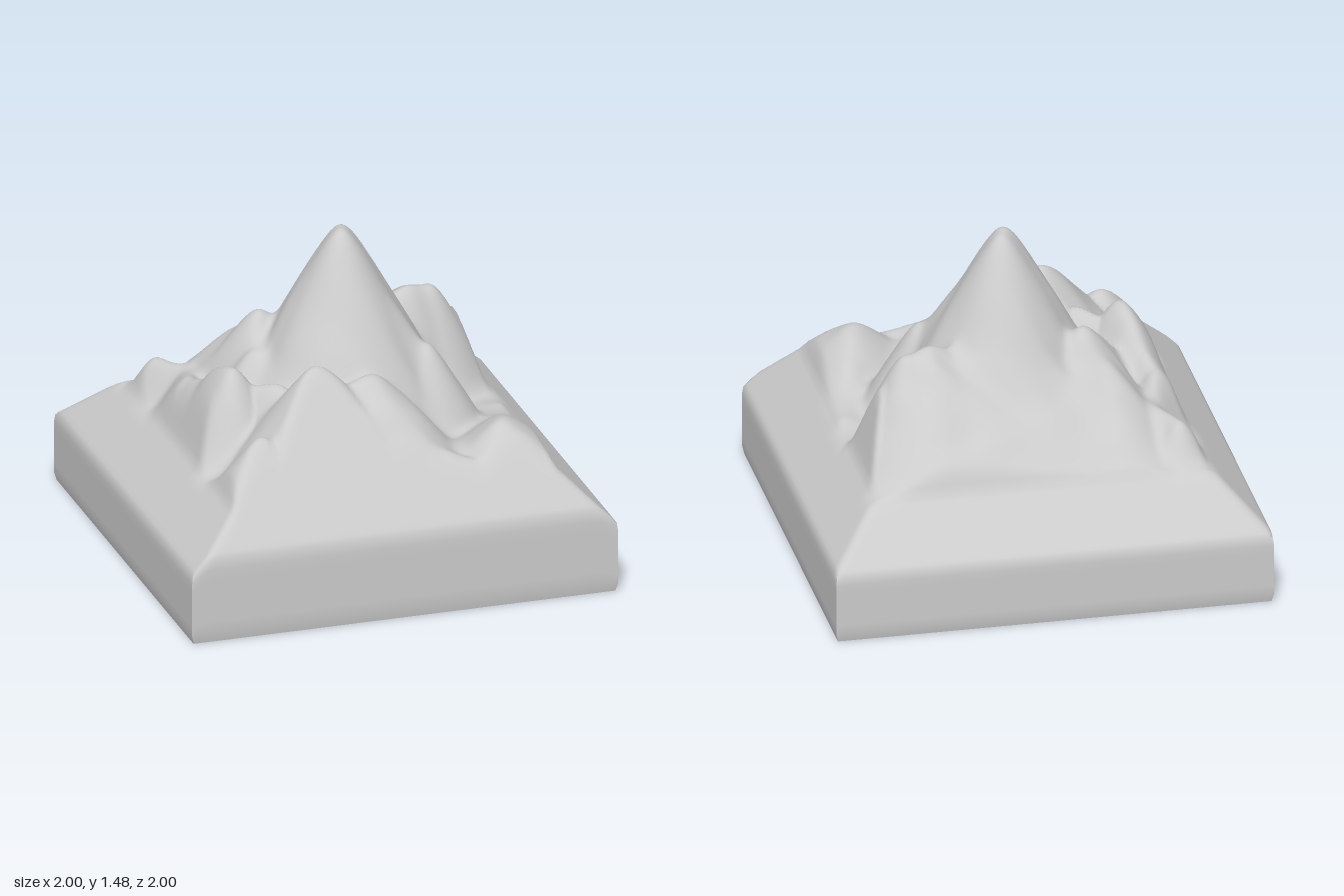
import * as THREE from 'three';
import { toCreasedNormals } from 'three/addons/utils/BufferGeometryUtils.js';

// Crest lines: points [x, y, z], fall-off slope towards the front and towards the back
const crests = [
  // main summit
  { pts: [[0.02, 1.485, 0.01], [0.04, 1.48, -0.05]], front: 1.85, back: 1.85 },
  // right-hand ridge with a cliff on its front
  { pts: [[0.3, 1.02, -0.22], [0.42, 1.06, -0.25], [0.52, 1.03, -0.27], [0.65, 0.9, -0.31], [0.73, 0.76, -0.36]], front: 2.6, back: 1.15 },
  // broad apron running down the back
  { pts: [[-0.38, 0.9, -0.32], [0.4, 0.98, -0.3]], front: 1.8, back: 0.9 },
  // shoulder curling round the left of the summit into the channel
  { pts: [[-0.3, 1.06, -0.19], [-0.37, 0.94, -0.02], [-0.31, 0.84, 0.18], [-0.14, 0.83, 0.34]], front: 1.5, back: 1.5 },
  // spur on the front right of the summit
  { pts: [[0.18, 1.12, 0.1], [0.36, 0.96, 0.19], [0.56, 0.62, 0.28]], front: 1.8, back: 1.9 },
  // front ridge, closing the channel below the summit
  { pts: [[-0.56, 0.81, 0.66], [-0.46, 0.75, 0.62], [-0.25, 1.05, 0.49], [-0.12, 0.93, 0.5], [0.02, 0.97, 0.46], [0.24, 0.68, 0.72]], front: 0.85, back: 1.6 },
  // jagged left ridge
  { pts: [[-0.66, 0.72, -0.56], [-0.58, 0.72, -0.38], [-0.64, 0.79, -0.15], [-0.56, 0.97, 0.22], [-0.47, 0.88, 0.24], [-0.38, 0.9, 0.32]], front: 2, back: 1.8 },
  // lip and rim of the right-hand bowl
  { pts: [[0.24, 0.66, 0.78], [0.44, 0.63, 0.8], [0.57, 0.75, 0.67], [0.73, 0.56, 0.1]], front: 0.75, back: 0.9 },
];

const smoothMax = (a, b, k) => {
  const h = Math.max(k - Math.abs(a - b), 0) / k;
  return Math.max(a, b) + h * h * k * 0.25;
};
const smoothMin = (a, b, k) => -smoothMax(-a, -b, k);

function crestHeight({ pts, front, back }, x, z) {
  const round = 0.055;
  let best = 0;
  for (let i = 0; i < pts.length - 1; i++) {
    const [ax, ay, az] = pts[i], [bx, by, bz] = pts[i + 1];
    const dx = bx - ax, dz = bz - az;
    let t = ((x - ax) * dx + (z - az) * dz) / (dx * dx + dz * dz);
    t = THREE.MathUtils.clamp(t, 0, 1);
    const ox = x - ax - t * dx, oz = z - az - t * dz;
    const d = Math.hypot(ox, oz);
    const slope = THREE.MathUtils.lerp(back, front, 0.5 + 0.5 * oz / (d + 1e-6));
    const fall = slope * (Math.hypot(d, round) - round);
    const s = t * t * (3 - 2 * t);
    best = Math.max(best, ay + (by - ay) * s - fall);
  }
  return best;
}

function height(x, z) {
  let h = 0.55;
  for (const c of crests) h = smoothMax(h, crestHeight(c, x, z), 0.09);
  // small gullies on the high ground
  const rough = THREE.MathUtils.smoothstep(h, 0.6, 0.85) * THREE.MathUtils.smoothstep(1.45 - h, 0, 0.4);
  h += 0.01 * rough * Math.sin(17 * x + 3 * Math.sin(9 * z)) * Math.cos(13 * z - 5 * x);
  // bevelled sides of the slab, turning steeper inside
  const ex = 1 - Math.abs(x), ez = 1 + z;
  const side = 0.33 + ex + Math.max(0, ex - 0.24) * 2.2;
  const rear = 0.32 + 0.92 * ez + Math.max(0, ez - 0.25) * 2;
  const fore = 0.4 + 1.3 * (1 - z);
  return smoothMin(smoothMin(smoothMin(h, side, 0.04), rear, 0.04), fore, 0.04);
}

export function createModel() {
  const group = new THREE.Group();
  group.name = 'mountainModel';

  // One slab whose top is pulled up into the terrain
  const geo = new THREE.BoxGeometry(2, 1, 2, 120, 8, 120);
  const pos = geo.attributes.position;
  for (let i = 0; i < pos.count; i++) {
    const x = pos.getX(i), z = pos.getZ(i), t = pos.getY(i) + 0.5;
    const edge = Math.max(Math.abs(x), Math.abs(z)) > 0.999;
    // edges drawn in slightly at the foot and the top of the walls
    const k = !edge ? 1 : t < 0.01 ? 0.99 : t > 0.99 ? 0.995 : 1;
    pos.setXYZ(i, x * k, t * height(x, z), z * k);
  }
  geo.deleteAttribute('uv');
  geo.deleteAttribute('normal');
  const mesh = new THREE.Mesh(
    toCreasedNormals(geo, 1.2),
    new THREE.MeshStandardMaterial({ color: 0xcccccc })
  );
  mesh.name = 'mountainOnSlab';
  group.add(mesh);
  return group;
}
